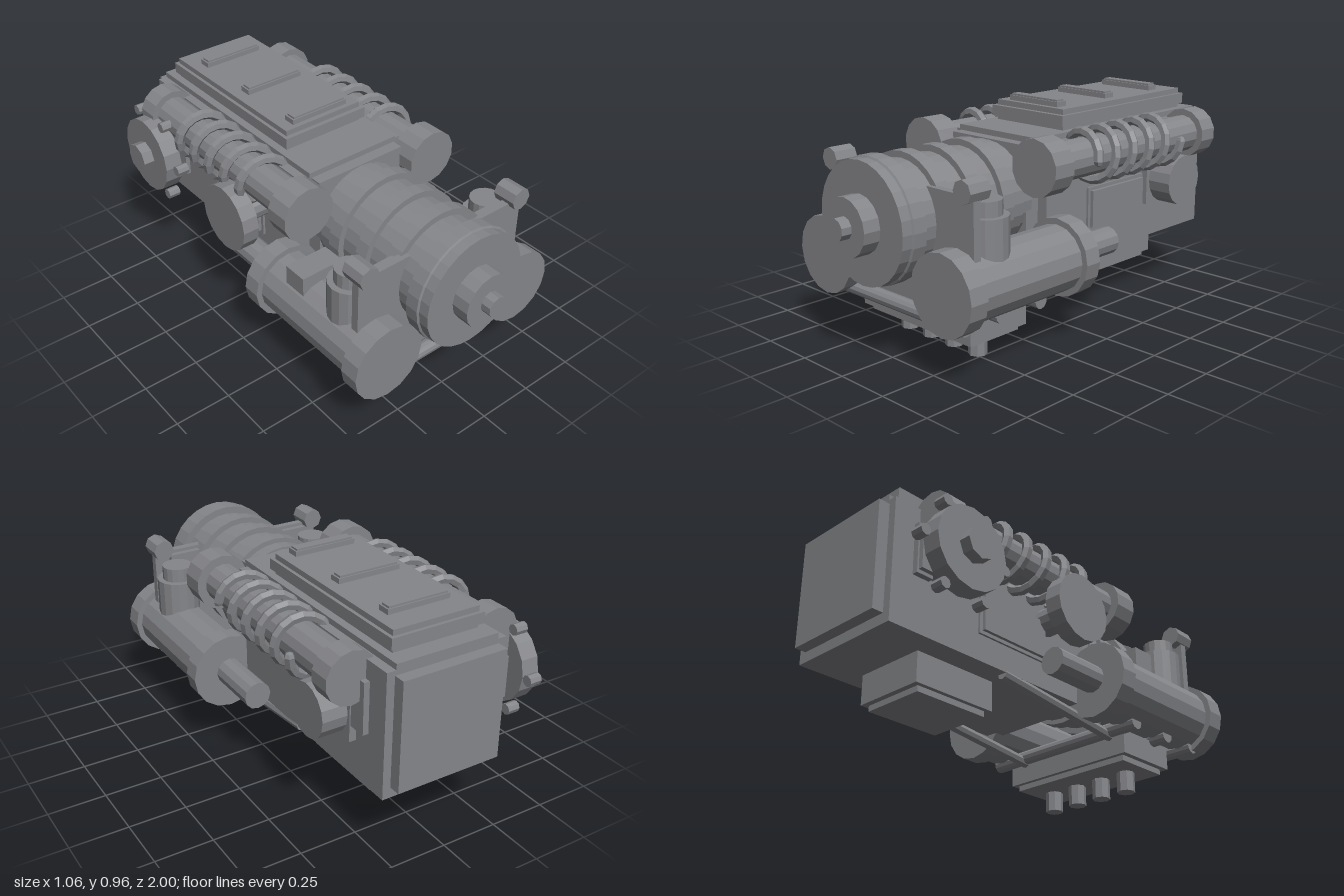
import * as THREE from 'three';

const material = new THREE.MeshStandardMaterial({ color: 0x85868a, flatShading: true });

export function createModel() {
  const model = new THREE.Group();

  const add = (name, geometry) => {
    const mesh = new THREE.Mesh(geometry, material);
    mesh.name = name;
    model.add(mesh);
    return mesh;
  };
  // Box given by its lower and upper limits on each axis
  const box = (name, [x0, x1], [y0, y1], [z0, z1]) =>
    add(name, new THREE.BoxGeometry(x1 - x0, y1 - y0, z1 - z0)
      .translate((x0 + x1) / 2, (y0 + y1) / 2, (z0 + z1) / 2));
  // Cylinder running along one axis between two limits; a, b are the other two coordinates
  const rod = (name, axis, r, [from, to], a, b, sides = 16) => {
    const g = new THREE.CylinderGeometry(r, r, to - from, sides);
    const mid = (from + to) / 2;
    if (axis === 'x') g.rotateZ(-Math.PI / 2).translate(mid, a, b);
    if (axis === 'y') g.translate(a, mid, b);
    if (axis === 'z') g.rotateX(Math.PI / 2).translate(a, b, mid);
    return add(name, g);
  };

  // Main housing
  box('housing', [-0.27, 0.27], [0.285, 0.82], [-0.95, 0.13]);
  box('housingTop', [-0.23, 0.23], [0.8, 0.845], [-0.95, 0.15]);
  box('rearPlate', [-0.235, 0.235], [0.33, 0.8], [-1, -0.95]);
  box('frontCollar', [-0.22, 0.22], [0.34, 0.82], [0.13, 0.2]);
  box('cover', [-0.195, 0.195], [0.84, 0.935], [-0.875, -0.05]);
  box('coverFlange', [-0.21, 0.21], [0.864, 0.911], [-0.89, -0.03]);
  for (const z of [-0.1, -0.42, -0.74]) {
    box('coverRib', [-0.142, 0.142], [0.93, 0.957], [z - 0.028, z + 0.028]);
    box('coverRibTop', [-0.134, 0.134], [0.955, 0.965], [z - 0.022, z + 0.022]);
  }

  // Pan beneath the housing
  box('pan', [-0.165, 0.165], [0.155, 0.29], [-0.72, -0.32]);
  box('panBottom', [-0.145, 0.145], [0.13, 0.16], [-0.695, -0.345]);

  // Ribbed front drum turned around z, with hub and shaft
  const profile = [[0, 0.17], [0.225, 0.17]];
  for (const z of [0.26, 0.33, 0.49, 0.645]) {
    const r = z < 0.3 ? 0.235 : 0.252;
    profile.push([0.225, z - 0.03], [r, z - 0.03], [r, z + 0.03], [0.225, z + 0.03]);
  }
  profile.push([0.225, 0.77], [0.258, 0.77], [0.258, 0.83], [0.25, 0.835], [0.25, 0.88], [0, 0.88]);
  const drum = new THREE.LatheGeometry(profile.map(([r, z]) => new THREE.Vector2(r, z)), 28);
  add('frontDrum', drum.rotateX(Math.PI / 2).translate(0, 0.59, 0));
  rod('hub', 'z', 0.12, [0.87, 0.955], 0, 0.59, 16);
  rod('shaft', 'z', 0.046, [0.95, 1], 0, 0.59, 10);

  // Front mounting plates
  box('mountPlate', [-0.43, 0.43], [0.25, 0.735], [0.66, 0.695]);
  box('mountPlateBack', [-0.36, 0.36], [0.3, 0.72], [0.635, 0.66]);

  // Cross rods, manifold and nozzles
  for (const z of [0.72, 0.53, 0.31]) rod('crossRod', 'x', 0.032, [-0.41, 0.41], 0.229, z, 12);
  box('manifold', [-0.33, 0.335], [0.115, 0.22], [0.32, 0.63]);
  box('manifoldBottom', [-0.305, 0.31], [0.09, 0.12], [0.34, 0.605]);
  for (let i = 0; i < 4; i++) rod('nozzle', 'y', 0.04, [0, 0.1], -0.207 + i * 0.141, 0.48, 8);

  // Helical spring, wound the same way on both sides
  const shockY = 0.757, coil = 0.107;
  class Helix extends THREE.Curve {
    constructor(x) { super(); this.x = x; }
    getPoint(t, target = new THREE.Vector3()) {
      const a = -t * 5 * Math.PI * 2;
      return target.set(this.x + coil * Math.cos(a), shockY + coil * Math.sin(a), -0.57 + 0.57 * t);
    }
  }

  for (const s of [-1, 1]) {
    // Lower pressure cylinder with end caps, piston and port
    const x = s * 0.358;
    rod('lowerCylinder', 'z', 0.142, [0.1, 0.75], x, 0.368);
    rod('lowerFrontCap', 'z', 0.168, [0.715, 0.8], x, 0.368);
    rod('lowerRearCap', 'z', 0.168, [0.085, 0.165], x, 0.368);
    rod('piston', 'z', 0.06, [-0.17, 0.1], x, 0.37, 12);
    rod('port', 'y', 0.094, [0.46, 0.638], s * 0.362, 0.57);
    rod('portTop', 'y', 0.068, [0.63, 0.7], s * 0.362, 0.57);

    // Bolt head on the mounting plate
    rod('plateBolt', 'z', 0.048, [0.62, 0.725], s * 0.4, 0.756, 8);

    // Shock absorber: rod, caps and spring
    rod('shockRod', 'z', 0.083, [-0.75, 0.2], s * 0.33, shockY, 14);
    rod('shockFrontCap', 'z', 0.121, [0.165, 0.275], s * 0.332, shockY, 14);
    rod('shockRearCap', 'z', 0.112, [-0.825, -0.73], s * 0.33, shockY, 14);
    add('shockSpring', new THREE.TubeGeometry(new Helix(s * 0.33), 80, 0.022, 6, false));
    for (const z of [-0.57, 0]) {
      const end = add('springEnd', new THREE.SphereGeometry(0.022, 6, 4));
      end.position.set(s * 0.33 + coil, shockY, z);
    }

    // Sloped brace from manifold to housing
    const brace = add('brace', new THREE.CylinderGeometry(0.024, 0.024, 0.72, 8));
    brace.position.set(s * 0.25, 0.245, 0.01);
    brace.rotation.x = Math.PI / 2 + 0.11;

    // Raised side panels
    const side = (name, depth, ys, zs) =>
      box(name, s > 0 ? [0.26, depth] : [-depth, -0.26], ys, zs);
    side('sidePanelFrame', 0.28, [0.4, 0.595], [-0.505, -0.125]);
    side('sidePanel', 0.295, [0.415, 0.58], [-0.49, -0.14]);
    side('rearRib', 0.295, [0.52, 0.74], [-0.85, -0.77]);
  }

  // Valve block on the right lower cylinder
  box('valveBlock', [-0.45, -0.25], [0.45, 0.56], [0.275, 0.385]);

  // Round cover with its pad on the left side
  box('coverPad', [0.26, 0.3], [0.45, 0.68], [-0.77, -0.51]);
  rod('sideCover', 'x', 0.115, [0.27, 0.41], 0.56, -0.643);

  // Round disc on the right side
  rod('sideDisc', 'x', 0.15, [-0.485, -0.41], 0.59, -0.115);
  rod('discAxle', 'x', 0.06, [-0.42, -0.26], 0.59, -0.115, 12);

  // Wheel with mount, knob and ring of bolts on the right side
  const wheelY = 0.59, wheelZ = -0.745;
  box('wheelMount', [-0.36, -0.34], [0.5, 0.68], [-0.88, -0.61]);
  rod('wheelAxle', 'x', 0.06, [-0.42, -0.26], wheelY, wheelZ, 12);
  rod('wheel', 'x', 0.175, [-0.485, -0.405], wheelY, wheelZ);
  rod('wheelKnob', 'x', 0.068, [-0.535, -0.48], wheelY, wheelZ, 8);
  for (let i = 0; i < 6; i++) {
    const a = i * Math.PI / 3;
    rod('wheelBolt', 'x', 0.024, [-0.455, -0.4],
      wheelY + 0.205 * Math.sin(a), wheelZ + 0.205 * Math.cos(a), 8);
  }

  return model;
}
